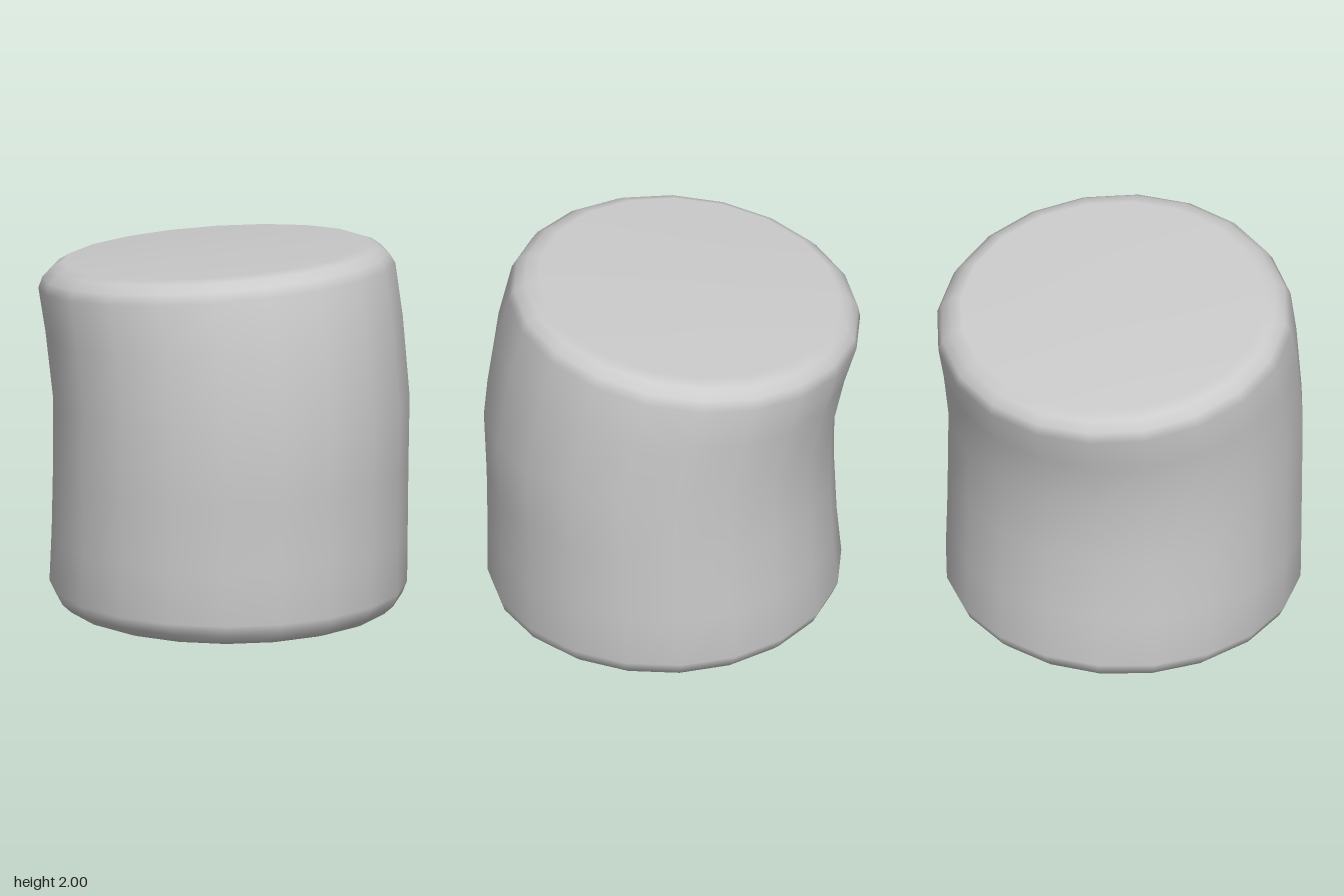
import * as THREE from 'three';

const SIDES = 20;

// Each ring: left end x, y, right end x, y, and half depth along z
const RINGS = [
  [-0.77, 0.0, 0.85, 0.0, 0.81],
  [-0.83, 0.025, 0.91, 0.02, 0.87],
  [-0.875, 0.07, 0.96, 0.065, 0.92],
  [-0.9, 0.13, 0.98, 0.13, 0.95],
  [-0.875, 0.41, 0.98, 0.41, 0.95],
  [-0.86, 0.78, 0.985, 0.78, 0.95],
  [-0.865, 1.14, 1.0, 1.15, 0.95],
  [-0.935, 1.45, 0.94, 1.6, 0.95],
  [-1.0, 1.66, 0.87, 1.9, 0.95],
  [-0.99, 1.72, 0.84, 1.95, 0.92],
  [-0.95, 1.77, 0.785, 1.985, 0.87],
  [-0.89, 1.81, 0.71, 1.995, 0.81],
];

// Skins tilted elliptical rings into one closed smooth surface
function loftRings(rings) {
  const positions = [], index = [];
  for (const [lx, ly, rx, ry, depth] of rings) {
    for (let i = 0; i < SIDES; i++) {
      const a = (i / SIDES) * Math.PI * 2;
      const t = (1 + Math.cos(a)) / 2;
      positions.push(lx + (rx - lx) * t, ly + (ry - ly) * t, depth * Math.sin(a));
    }
  }
  for (let r = 0; r < rings.length - 1; r++) {
    for (let i = 0; i < SIDES; i++) {
      const j = (i + 1) % SIDES;
      const a = r * SIDES + i, b = r * SIDES + j;
      index.push(a, a + SIDES, b, b, a + SIDES, b + SIDES);
    }
  }
  // Flat caps, fanned from a centre point
  for (const r of [0, rings.length - 1]) {
    const [lx, ly, rx, ry] = rings[r];
    const centre = positions.length / 3;
    positions.push((lx + rx) / 2, (ly + ry) / 2, 0);
    for (let i = 0; i < SIDES; i++) {
      const a = r * SIDES + i, b = r * SIDES + ((i + 1) % SIDES);
      if (r === 0) index.push(centre, a, b);
      else index.push(centre, b, a);
    }
  }
  const geometry = new THREE.BufferGeometry();
  geometry.setAttribute('position', new THREE.Float32BufferAttribute(positions, 3));
  geometry.setIndex(index);
  geometry.computeVertexNormals();
  return geometry;
}

export function createModel() {
  const group = new THREE.Group();
  group.name = 'bentCylinder';

  // Bent, bevelled cylinder body with a tilted top
  const body = new THREE.Mesh(
    loftRings(RINGS),
    new THREE.MeshStandardMaterial({ color: 0xcccccc })
  );
  body.name = 'body';
  group.add(body);
  return group;
}
